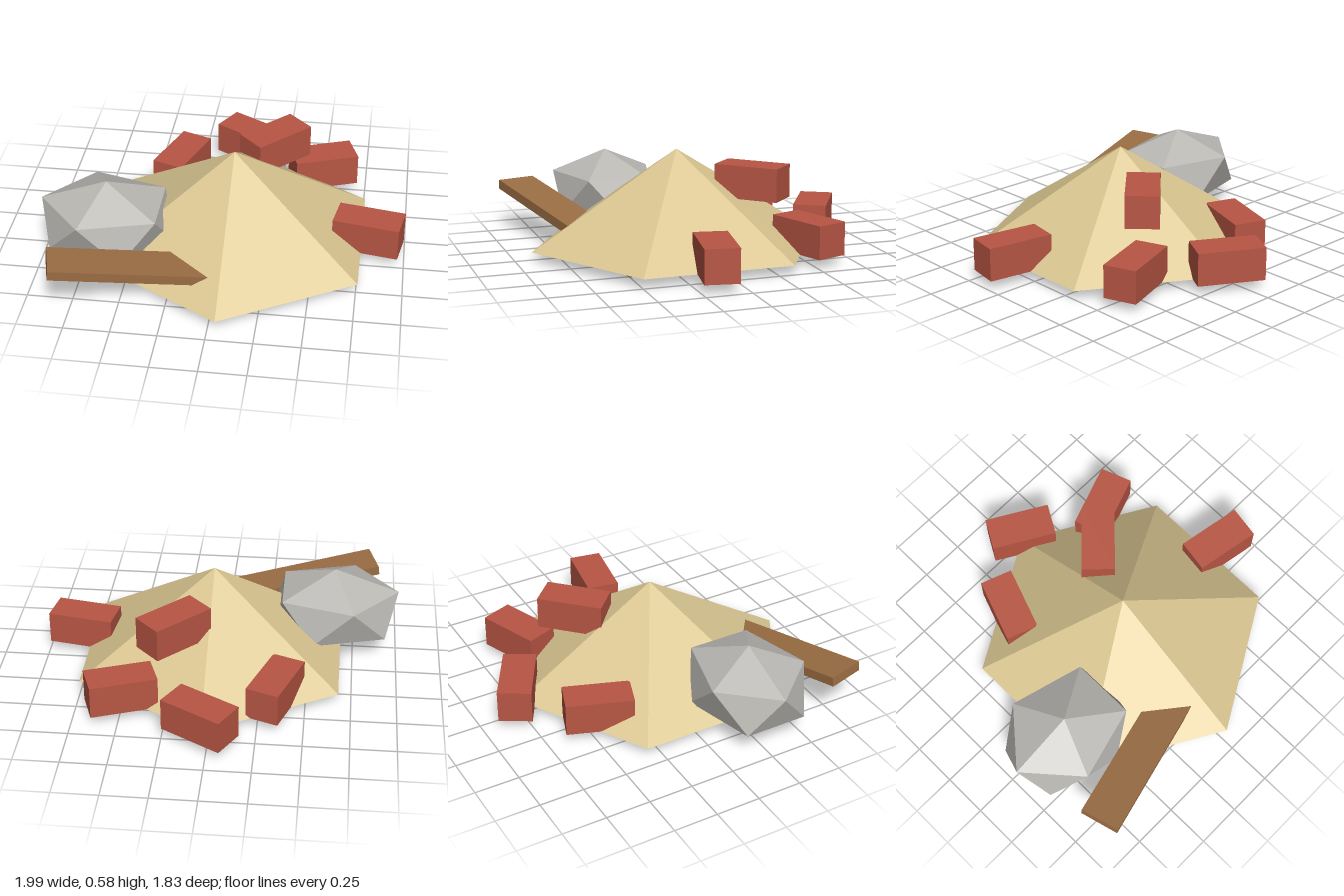
import * as THREE from 'three';

function material(name, color) {
  const m = new THREE.MeshStandardMaterial({ color, flatShading: true });
  m.name = name;
  return m;
}

export function createModel() {
  const group = new THREE.Group();
  const sand = material('sand', 0xd9c590);
  const brickRed = material('brick red', 0xb85644);
  const stone = material('stone grey', 0xb9b7b2);
  const wood = material('wood brown', 0x9a6d43);

  function add(name, geometry, mat, [x, y, z], yaw = 0, pitch = 0) {
    const mesh = new THREE.Mesh(geometry, mat);
    mesh.name = name;
    mesh.position.set(x, y, z);
    mesh.rotation.set(0, yaw, pitch);
    group.add(mesh);
  }

  // Six-sided heap of sand
  add('sandPile', new THREE.ConeGeometry(0.83, 0.525, 6), sand, [0.04, 0.3175, 0.085]);

  // Squashed boulder standing on one point
  const boulder = new THREE.IcosahedronGeometry(1, 0);
  boulder.rotateZ(Math.atan(2 / (1 + Math.sqrt(5))));
  boulder.scale(0.408, 0.238, 0.34);
  add('boulder', boulder, stone, [-0.635, 0.24, 0.31]);

  // Plank sunk through the heap at a shallow slope
  add('plank', new THREE.BoxGeometry(1.5, 0.054, 0.223), wood,
    [-0.147, 0.157, 0.61], THREE.MathUtils.degToRad(15), -0.142);

  // Scattered bricks: x, y, z, yaw in degrees
  const brick = new THREE.BoxGeometry(0.372, 0.185, 0.186);
  [
    [0.043, 0.1475, -0.745, -30],
    [-0.338, 0.1475, -0.445, 70],
    [0.495, 0.1475, -0.52, 20],
    [0.228, 0.4125, -0.293, 45],
    [0.795, 0.1475, 0.123, -10],
  ].forEach(([x, y, z, yaw], i) =>
    add(`brick${i + 1}`, brick, brickRed, [x, y, z], THREE.MathUtils.degToRad(yaw)));

  return group;
}
